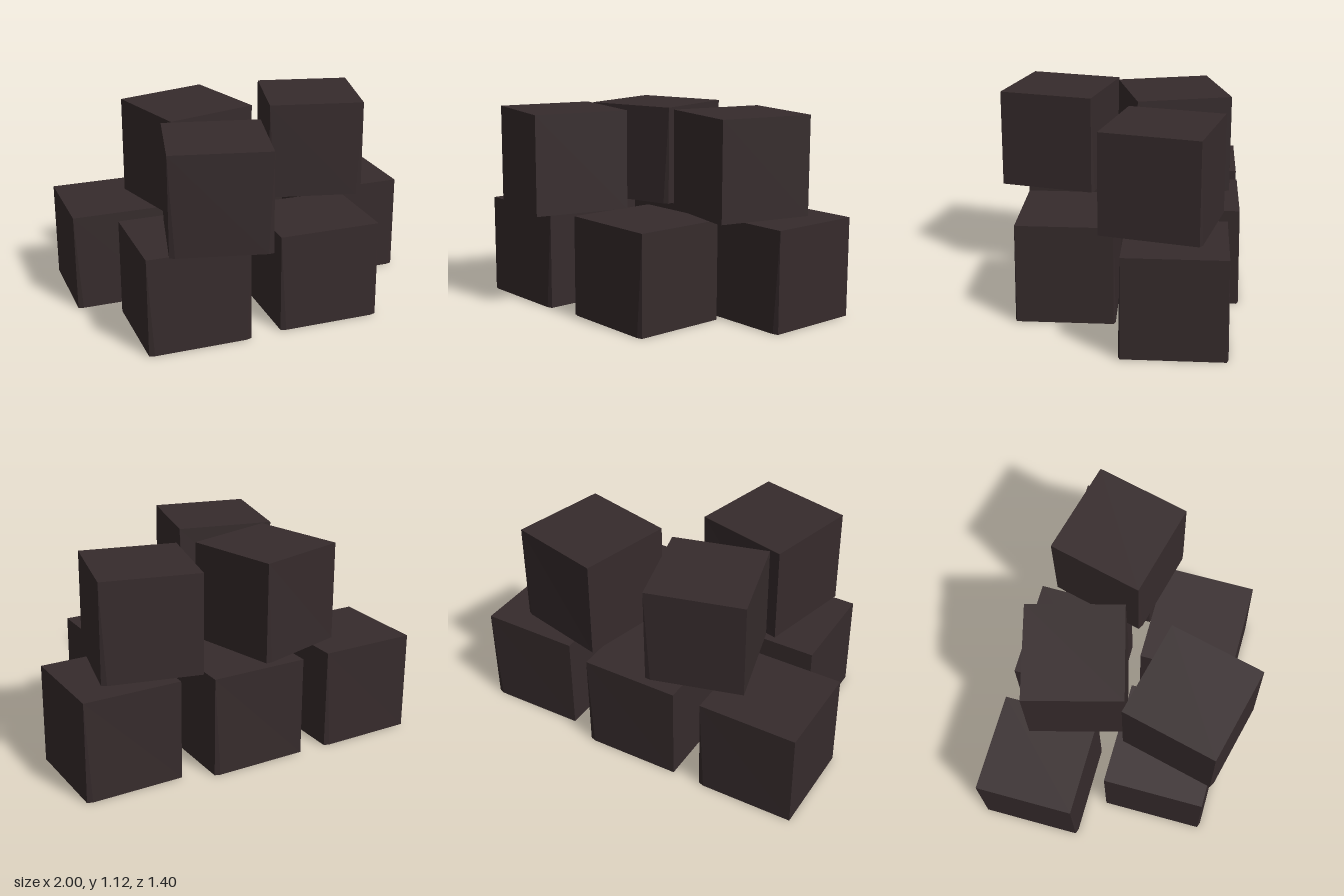
import * as THREE from 'three';

const H = 0.5625; // height of every block

// Hollow block, open underneath: square top, slightly deeper base with clipped corners
function blockGeometry(w, d) {
  const x = w / 2, z = d / 2, bz = z + 0.01;
  const top = [[-x, z], [x, z], [x, -z], [-x, -z]];
  // base outline: x, z and the top corner it rises to
  const base = [
    [-x, bz - 0.01, 0], [0.03 - x, bz, 0],
    [x - 0.03, bz, 1], [x, bz - 0.01, 1],
    [x, 0.01 - bz, 2], [x - 0.03, -bz, 2],
    [-x, -z - 0.003, 3],
  ];
  const positions = [];
  const tri = (...corners) => corners.forEach((c) => positions.push(...c));
  const up = (i) => [top[i][0], H, top[i][1]];
  const down = (b) => [b[0], 0, b[1]];

  tri(up(0), up(1), up(2));
  tri(up(0), up(2), up(3));
  base.forEach((a, i) => {
    const b = base[(i + 1) % base.length];
    tri(down(a), down(b), up(a[2]));
    if (a[2] !== b[2]) tri(down(b), up(b[2]), up(a[2]));
  });

  const geometry = new THREE.BufferGeometry();
  geometry.setAttribute('position', new THREE.Float32BufferAttribute(positions, 3));
  geometry.computeVertexNormals();
  return geometry;
}

export function createModel() {
  const group = new THREE.Group();
  const charcoal = new THREE.MeshStandardMaterial({ color: 0x362b2c, side: THREE.DoubleSide });
  charcoal.name = 'charcoal';

  // name, x, y, z, width, depth, turn
  const blocks = [
    // bottom layer
    ['backRightBlock', -0.722, 0, -0.415, 0.556, 0.55, 0],
    ['backMiddleBlock', -0.003, 0, -0.415, 0.556, 0.55, 0],
    ['backLeftBlock', 0.717, 0, -0.345, 0.556, 0.55, 0],
    ['frontRightBlock', -0.478, 0, 0.272, 0.585, 0.565, 0],
    ['frontLeftBlock', 0.293, 0, 0.257, 0.585, 0.535, 0],
    // turned blocks on top
    ['topBackRightBlock', -0.269, H, -0.303, 0.548, 0.548, 0.262],
    ['topLeftBlock', 0.494, H, -0.267, 0.55, 0.55, -0.24],
    ['topFrontBlock', -0.316, H, 0.365, 0.552, 0.552, -0.235],
  ];
  for (const [name, x, y, z, w, d, turn] of blocks) {
    const mesh = new THREE.Mesh(blockGeometry(w, d), charcoal);
    mesh.name = name;
    mesh.position.set(x, y, z);
    mesh.rotation.y = turn;
    group.add(mesh);
  }
  return group;
}
